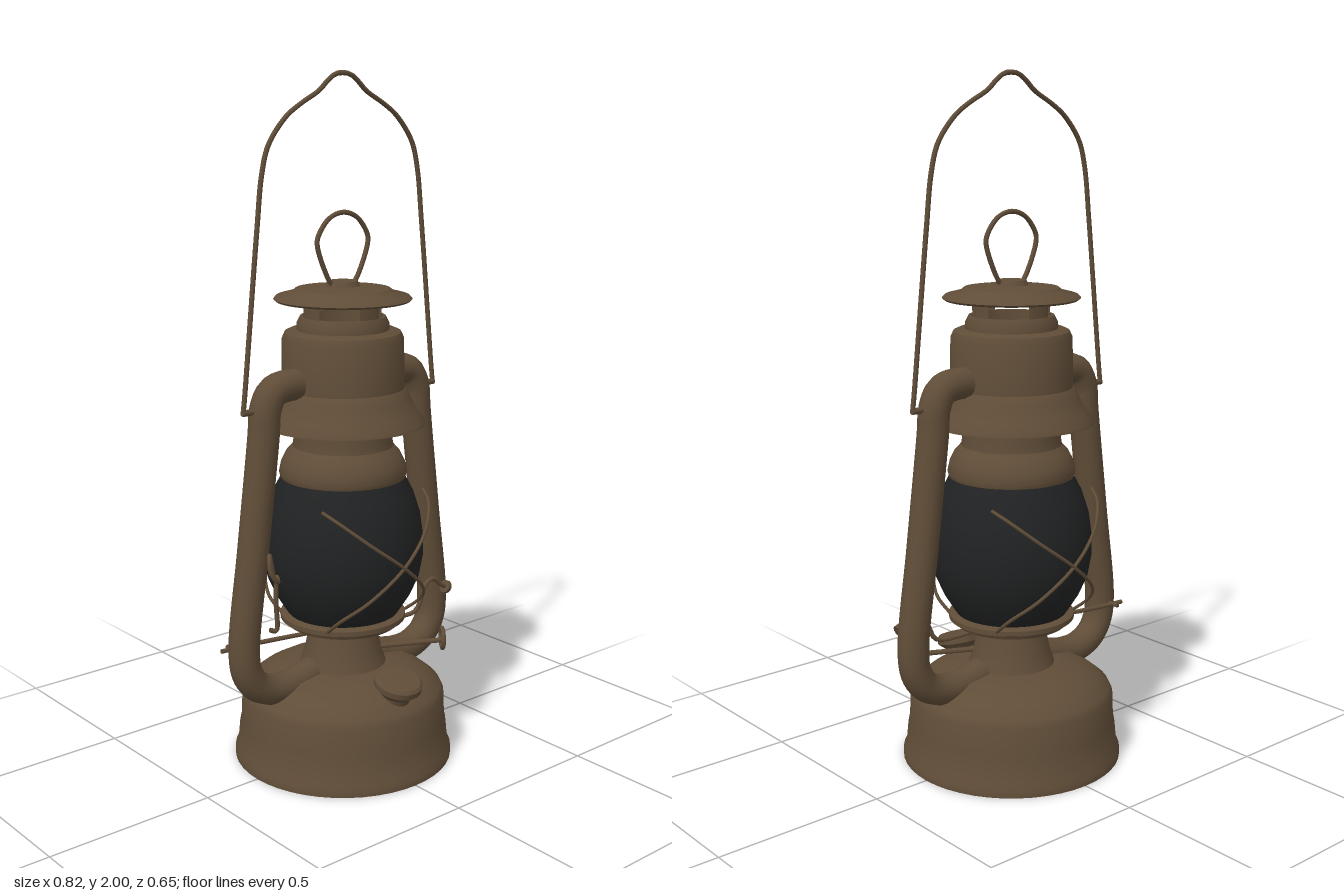
import * as THREE from 'three';
import { toCreasedNormals } from 'three/addons/utils/BufferGeometryUtils.js';

const brown = new THREE.MeshStandardMaterial({ color: 0x604d38, side: THREE.DoubleSide });
brown.name = 'aged brown metal';
const glass = new THREE.MeshStandardMaterial({ color: 0x212223 });
glass.name = 'sooty dark glass';

export function createModel() {
  const model = new THREE.Group();
  model.name = 'lantern';

  function add(name, geometry, material = brown, parent = model) {
    const mesh = new THREE.Mesh(geometry, material);
    mesh.name = name;
    parent.add(mesh);
    return mesh;
  }
  // Turned part from [radius, height] pairs, listed upwards along the outside
  function turned(name, profile, material = brown, parent = model) {
    const points = profile.map(([r, y]) => new THREE.Vector2(r, y));
    return add(name, toCreasedNormals(new THREE.LatheGeometry(points, 48), 0.6), material, parent);
  }
  // Round wire through a list of points
  function wire(name, points, radius = 0.007, closed = false, sides = 8, steps = 64) {
    const curve = new THREE.CatmullRomCurve3(points.map(p => new THREE.Vector3(...p)), closed, 'centripetal');
    return add(name, new THREE.TubeGeometry(curve, steps, radius, sides, closed));
  }

  // Fuel tank and burner
  turned('fuelTank', [[0, 0], [0.325, 0], [0.325, 0.02], [0.316, 0.035], [0.31, 0.1], [0.305, 0.12],
    [0.302, 0.195], [0.292, 0.215], [0.255, 0.245], [0.2, 0.275], [0.13, 0.287], [0, 0.287]]);
  turned('burnerCone', [[0.13, 0.28], [0.125, 0.295], [0.113, 0.33], [0.1, 0.395], [0.11, 0.405], [0, 0.405]]);
  turned('globePlate', [[0, 0.4], [0.11, 0.4], [0.165, 0.412], [0.17, 0.422], [0.185, 0.428],
    [0.185, 0.442], [0.165, 0.448], [0, 0.448]]);

  // Glass globe
  turned('globe', [[0.158, 0.44], [0.172, 0.46], [0.2, 0.505], [0.224, 0.56], [0.235, 0.62], [0.235, 0.68],
    [0.226, 0.745], [0.205, 0.81], [0.178, 0.862]], glass);

  // Collar and flared hood, open underneath
  turned('globeCollar', [[0, 0.858], [0.182, 0.858], [0.186, 0.872], [0.18, 0.9], [0.165, 0.93],
    [0.146, 0.95], [0.143, 0.97], [0.143, 1.1]]);
  turned('hood', [[0.14, 1.1], [0.165, 1.1], [0.18, 1.085], [0.205, 1.04], [0.23, 1.018], [0.238, 1.016],
    [0.236, 1.024], [0.215, 1.05], [0.194, 1.09], [0.184, 1.112], [0.177, 1.12], [0.174, 1.262],
    [0.166, 1.28], [0.15, 1.287], [0, 1.287]]);

  // Vented chimney: ring, four posts, domed cap
  turned('chimneyRing', [[0.132, 1.28], [0.132, 1.305], [0.122, 1.325], [0.114, 1.325], [0.114, 1.28]]);
  for (let i = 0; i < 4; i++) {
    const post = add('chimneyPost', new THREE.CylinderGeometry(0.12, 0.12, 0.07, 8, 1, true,
      i * Math.PI / 2 - 0.3, 0.6));
    post.position.y = 1.35;
  }
  turned('chimneyCap', [[0, 1.372], [0.12, 1.372], [0.19, 1.368], [0.197, 1.374], [0.19, 1.382],
    [0.145, 1.394], [0.135, 1.403], [0.07, 1.409], [0, 1.41]]);
  turned('capKnob', [[0.05, 1.405], [0.042, 1.424], [0, 1.426]]);
  wire('liftingLoop', [[-0.035, 1.41, 0], [-0.055, 1.435, 0], [-0.093, 1.53, 0], [-0.088, 1.555, 0],
    [-0.05, 1.6, 0], [0, 1.615, 0], [0.05, 1.6, 0], [0.088, 1.555, 0], [0.093, 1.53, 0],
    [0.055, 1.435, 0], [0.035, 1.41, 0]]);

  // Side tubes and handle lugs
  for (const [side, s] of [['left', 1], ['right', -1]]) {
    wire(side + 'SideTube', [[0.13, 1.145, 0], [0.21, 1.148, 0], [0.255, 1.135, 0], [0.279, 1.09, 0],
      [0.286, 1.02, 0], [0.327, 0.7, 0], [0.364, 0.41, 0], [0.356, 0.34, 0], [0.325, 0.292, 0],
      [0.27, 0.265, 0], [0.2, 0.262, 0], [0.12, 0.28, 0]].map(([x, y, z]) => [s * x, y, z]),
      0.045, false, 16, 80);
    const lug = add(side + 'HandleLug', new THREE.CylinderGeometry(0.009, 0.009, 0.07, 10));
    lug.rotation.z = Math.PI / 2;
    lug.position.set(s * 0.322, 1.09, 0);
  }

  // Carrying handle
  const half = [[0.355, 1.085], [0.348, 1.14], [0.3, 1.58], [0.281, 1.73], [0.258, 1.805], [0.2, 1.876],
    [0.15, 1.91], [0.085, 1.945], [0.05, 1.975], [0.025, 1.99]];
  wire('carryingHandle', [...half.map(([x, y]) => [-x, y, 0]), [0, 1.993, 0],
    ...half.slice().reverse().map(([x, y]) => [x, y, 0])], 0.007, false, 8, 120);

  // Crossed guard wires in front of and behind the globe
  for (const [face, turn] of [['front', 0], ['back', Math.PI]]) {
    for (const s of [1, -1]) {
      const path = [[-0.95, 0.81, 0.235], [-0.75, 0.785, 0.25], [-0.4, 0.72, 0.262], [0, 0.64, 0.268],
        [0.4, 0.555, 0.258], [0.75, 0.485, 0.225], [0.95, 0.437, 0.18]];
      wire(face + 'GuardWire', path.map(([a, y, r]) =>
        [r * Math.sin(s * a + turn), y, r * Math.cos(s * a + turn)]), 0.005, false, 6);
    }
  }

  // Globe lifting rod with its end button
  wire('lifterRod', [[-0.4, 0.395, -0.06], [-0.3, 0.395, -0.05], [-0.1, 0.395, -0.01], [0.1, 0.395, 0.03],
    [0.24, 0.395, 0.055], [0.26, 0.43, 0.06], [0.28, 0.475, 0.06], [0.31, 0.487, 0.06],
    [0.345, 0.46, 0.06], [0.372, 0.445, 0.06]]);
  const button = add('lifterButton', new THREE.CylinderGeometry(0.02, 0.02, 0.012, 14));
  button.rotation.z = Math.PI / 2 - 0.4;
  button.position.set(0.366, 0.448, 0.06);
  const stop = add('lifterStop', new THREE.CylinderGeometry(0.007, 0.007, 0.04, 8));
  stop.rotation.x = Math.PI / 2;
  stop.position.set(-0.365, 0.395, -0.06);

  // Hooked latch wire beside the right tube
  wire('latchWire', [[-0.31, 0.47, 0.05], [-0.292, 0.465, 0.055], [-0.295, 0.55, 0.06], [-0.3, 0.63, 0.07],
    [-0.315, 0.625, 0.095], [-0.338, 0.655, 0.095], [-0.335, 0.695, 0.085], [-0.315, 0.69, 0.06],
    [-0.3, 0.63, 0.055]], 0.007);

  // Wick adjuster: spindle and looped thumb grip
  wire('wickSpindle', [[0.06, 0.325, 0.05], [0.16, 0.325, 0.1], [0.265, 0.325, 0.15]], 0.008);
  const grip = add('wickGrip', new THREE.TorusGeometry(0.03, 0.007, 8, 24));
  grip.rotation.y = 0.95;
  grip.position.set(0.272, 0.328, 0.145);

  // Tilted filler cap on the front of the tank
  const filler = new THREE.Group();
  filler.name = 'fillerCap';
  filler.position.set(0, 0.285, 0.245);
  filler.rotation.x = 0.27;
  model.add(filler);
  turned('fillerNeck', [[0.042, -0.07], [0.045, -0.03], [0.06, -0.012]], brown, filler);
  turned('fillerLid', [[0, -0.015], [0.06, -0.015], [0.07, -0.005], [0.07, 0.012], [0.062, 0.02],
    [0, 0.022]], brown, filler);

  return model;
}
